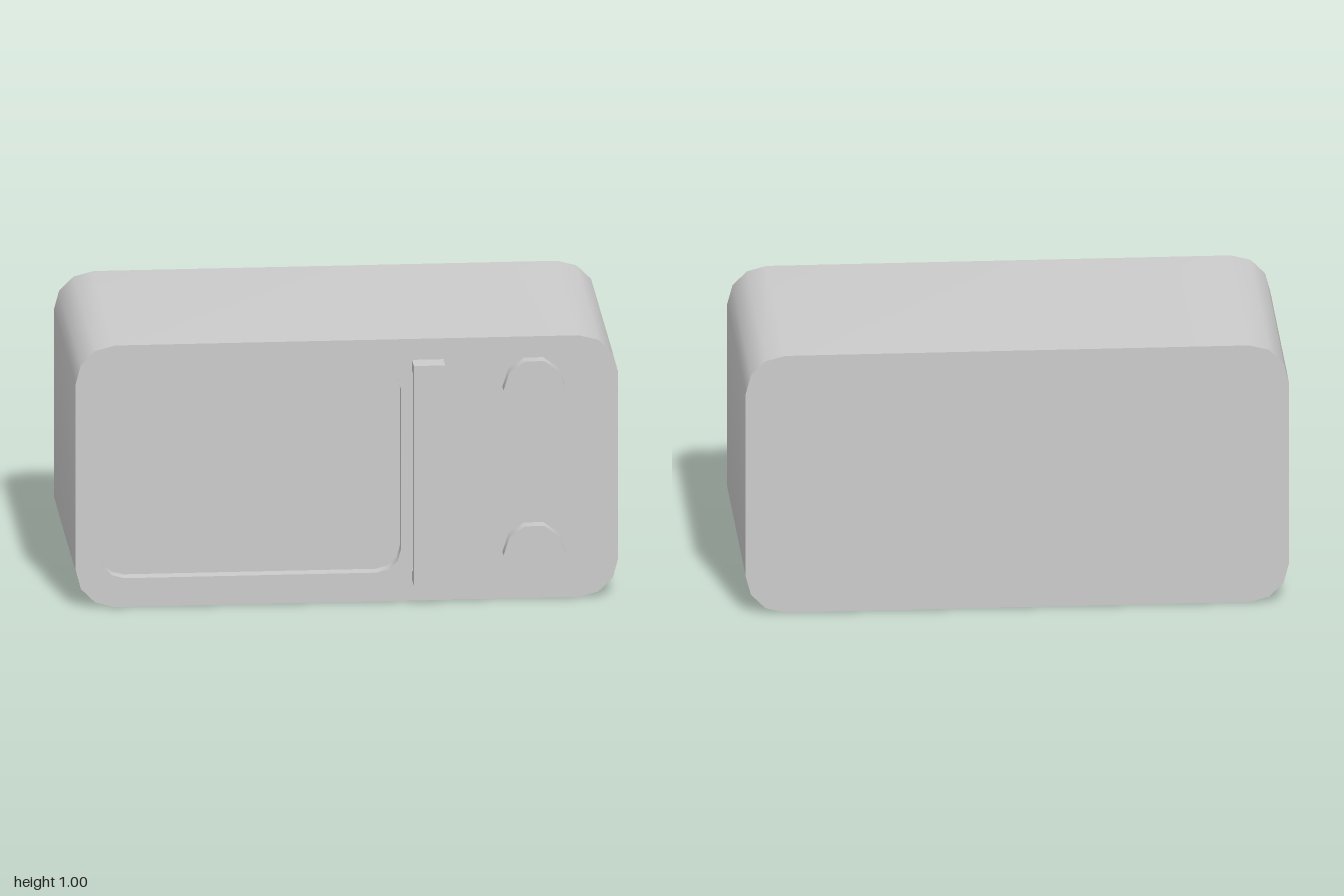
import * as THREE from 'three';
import { mergeGeometries, toCreasedNormals } from 'three/addons/utils/BufferGeometryUtils.js';

const FRONT = 0.457, BACK = -0.54, PANE = 0.405;

// Counter-clockwise rounded rectangle, three facets per corner
function roundedRect(x0, x1, y0, y1, r) {
  const corners = [[x1 - r, y0 + r, -0.5], [x1 - r, y1 - r, 0], [x0 + r, y1 - r, 0.5], [x0 + r, y0 + r, 1]];
  const pts = [];
  for (const [cx, cy, turn] of corners) {
    for (let i = 0; i <= 3; i++) {
      const a = Math.PI * (turn + i / 6);
      pts.push(new THREE.Vector2(cx + r * Math.cos(a), cy + r * Math.sin(a)));
    }
  }
  return pts;
}

// Open band of walls along a closed outline, smooth around the corners
function wall(pts, z0, z1) {
  const pos = [];
  pts.forEach((a, i) => {
    const b = pts[(i + 1) % pts.length];
    pos.push(a.x, a.y, z0, b.x, b.y, z0, b.x, b.y, z1);
    pos.push(a.x, a.y, z0, b.x, b.y, z1, a.x, a.y, z1);
  });
  const geo = new THREE.BufferGeometry();
  geo.setAttribute('position', new THREE.Float32BufferAttribute(pos, 3));
  return toCreasedNormals(geo, 0.7);
}

// Flat face at depth z
function face(shape, z) {
  const geo = new THREE.ShapeGeometry(shape).toNonIndexed();
  geo.deleteAttribute('uv');
  return geo.translate(0, 0, z);
}

export function createModel() {
  const model = new THREE.Group();
  const material = new THREE.MeshStandardMaterial({ color: 0xcccccc });
  const add = (name, geo, parent = model) => {
    const mesh = new THREE.Mesh(geo, material);
    mesh.name = name;
    parent.add(mesh);
    return mesh;
  };

  // Casing: rounded shell, back panel and front panel with the window opening
  const outer = roundedRect(-1, 1, 0, 1, 0.145);
  const opening = roundedRect(-0.91, 0.2, 0.11, 0.895, 0.09);
  const frontShape = new THREE.Shape(outer);
  frontShape.holes.push(new THREE.Path(opening));
  add('casing', mergeGeometries([
    wall(outer, BACK, FRONT),
    face(frontShape, FRONT),
    face(new THREE.Shape(outer), 0).rotateY(Math.PI).translate(0, 0, BACK),
  ]));

  // Recessed door window
  add('window', mergeGeometries([
    wall([...opening].reverse(), PANE, FRONT),
    face(new THREE.Shape(opening), PANE),
  ]));

  // Door handle: a C-shaped side profile extruded across its width
  const profile = new THREE.Shape([
    [FRONT, 0.08], [0.54, 0.08], [0.54, 0.92], [FRONT, 0.92],
    [FRONT, 0.88], [0.5, 0.88], [0.5, 0.12], [FRONT, 0.12],
  ].map(([z, y]) => new THREE.Vector2(-z, y)));
  const handle = new THREE.ExtrudeGeometry(profile, { depth: 0.115, bevelEnabled: false });
  add('doorHandle', handle.rotateY(Math.PI / 2).translate(0.24, 0, 0));

  // Control knobs, ten-sided
  const depth = 0.51 - FRONT;
  const knob = new THREE.CylinderGeometry(0.115, 0.115, depth, 10, 1, false, Math.PI / 2).rotateX(Math.PI / 2);
  for (const [name, y] of [['upperKnob', 0.81], ['lowerKnob', 0.18]]) {
    add(name, knob).position.set(0.688, y, FRONT + depth / 2);
  }

  return model;
}
